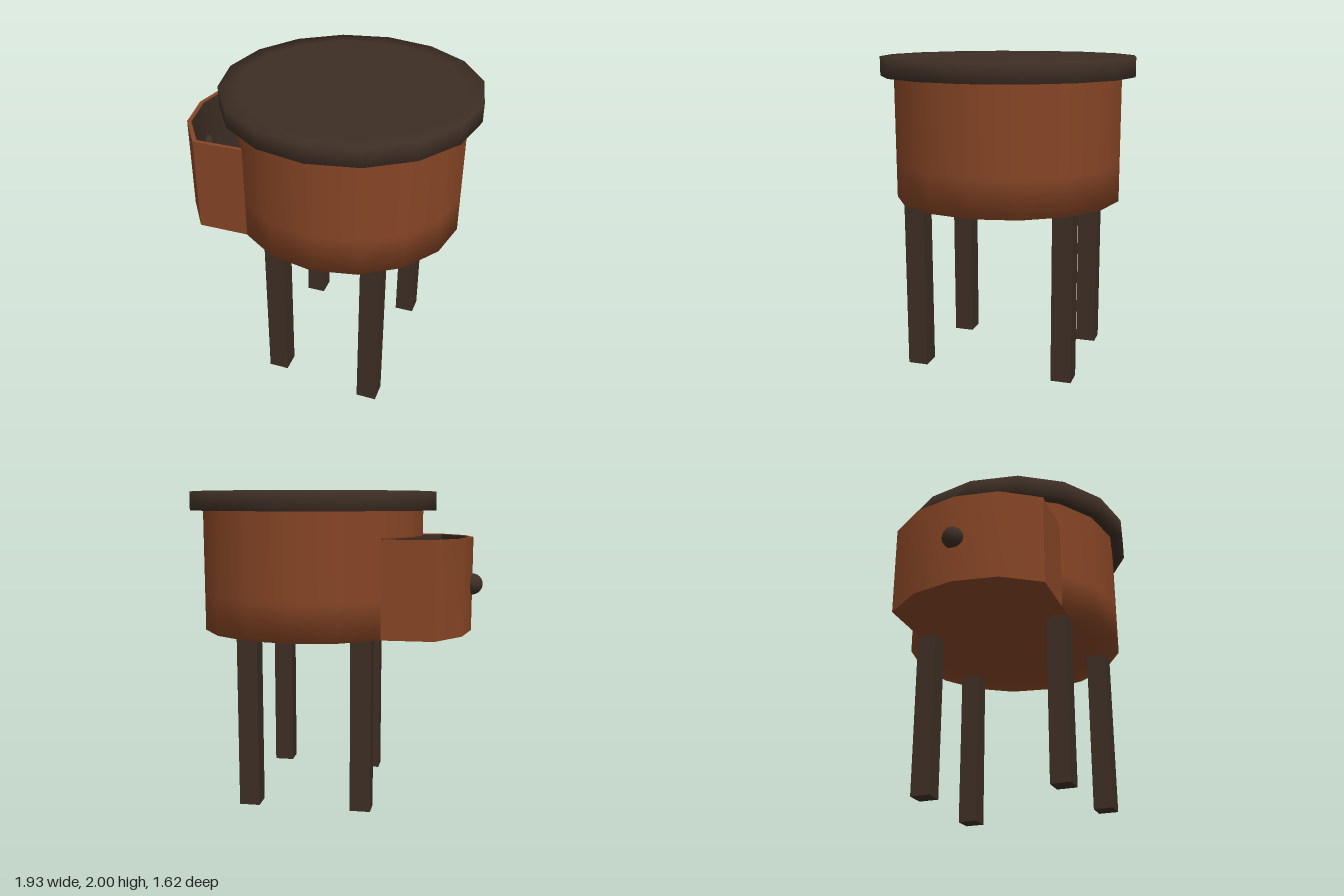
import * as THREE from 'three';
import { toCreasedNormals } from 'three/addons/utils/BufferGeometryUtils.js';

const CX = 0.155;            // axis of the round body
const BOTTOM = 1.1, TOP = 2; // underside of the body, top of the lid

export function createModel() {
  const model = new THREE.Group();
  const wood = new THREE.MeshStandardMaterial({ color: 0x864525 });
  wood.name = 'red brown wood';
  const dark = new THREE.MeshStandardMaterial({ color: 0x3d2e24 });
  dark.name = 'dark brown wood';

  const add = (name, geometry, material, x = 0, y = 0, z = 0, parent = model) => {
    const mesh = new THREE.Mesh(geometry, material);
    mesh.name = name;
    mesh.position.set(x, y, z);
    parent.add(mesh);
    return mesh;
  };
  const lathe = (profile, segments, start, length) => new THREE.LatheGeometry(
    profile.map(([r, y]) => new THREE.Vector2(r, y)), segments, start, length);

  // Lid: sixteen sides with softly shaded edges
  add('lid', lathe([[0, 1.88], [0.76, 1.88], [0.812, 1.88], [0.812, TOP], [0.7, TOP], [0, TOP]], 16), dark, CX);

  // Body: open for a quarter turn on the drawer side
  const R = 0.728, PI = Math.PI;
  add('body', lathe([[0, BOTTOM], [0.55, BOTTOM], [R, BOTTOM], [R, 1.34], [R, 1.89]], 12, PI * 1.75, PI * 1.5), wood, CX);
  add('bodyAboveDrawer', lathe([[0.45, 1.71], [R, 1.71], [R, 1.72], [R, 1.89]], 4, PI * 1.25, PI * 0.5), wood, CX);
  add('bodyFloor', lathe([[0, BOTTOM], [R, BOTTOM]], 4, PI * 1.25, PI * 0.5), wood, CX);

  // Drawer: curved front pulled out of the body, hollow inside
  const drawer = new THREE.Group();
  drawer.name = 'drawer';
  model.add(drawer);
  const outline = (inset) => {
    const half = [[0.3 - inset, 0.514 - inset], [-0.688 + inset * 0.5, 0.514 - inset], [-0.848 + inset, 0.28 - inset * 0.2]];
    const mirrored = half.map(([x, z]) => [x, -z]).reverse();
    return [...half, [-0.9 + inset, 0], ...mirrored].map(([x, z]) => new THREE.Vector2(x, z));
  };
  const tray = (outer, inner, y0, y1) => {
    const shape = new THREE.Shape(outline(outer));
    if (inner !== null) shape.holes.push(new THREE.Path(outline(inner)));
    const g = new THREE.ExtrudeGeometry(shape, { depth: y1 - y0, bevelEnabled: false });
    g.rotateX(-PI / 2).translate(0, y0, 0);
    return toCreasedNormals(g, 0.6);
  };
  add('drawerWall', tray(0, 0.026, BOTTOM, 1.71), wood, 0, 0, 0, drawer);
  add('drawerBase', tray(0.002, null, BOTTOM, 1.125), wood, 0, 0, 0, drawer);
  add('drawerLining', tray(0.026, 0.031, 1.125, 1.706), dark, 0, 0, 0, drawer);
  add('drawerFloor', tray(0.026, null, 1.125, 1.133), dark, 0, 0, 0, drawer);
  add('knob', new THREE.SphereGeometry(0.07, 10, 8), dark, -0.898, 1.405, 0, drawer);

  // Four square legs, spaced a little unevenly
  const legs = [[0.48, 0.51], [0.48, -0.46], [-0.185, 0.435], [-0.24, -0.46]];
  for (const [x, z] of legs) {
    add('leg', new THREE.BoxGeometry(0.13, 1.12, 0.13), dark, x, 0.56, z);
  }
  return model;
}
